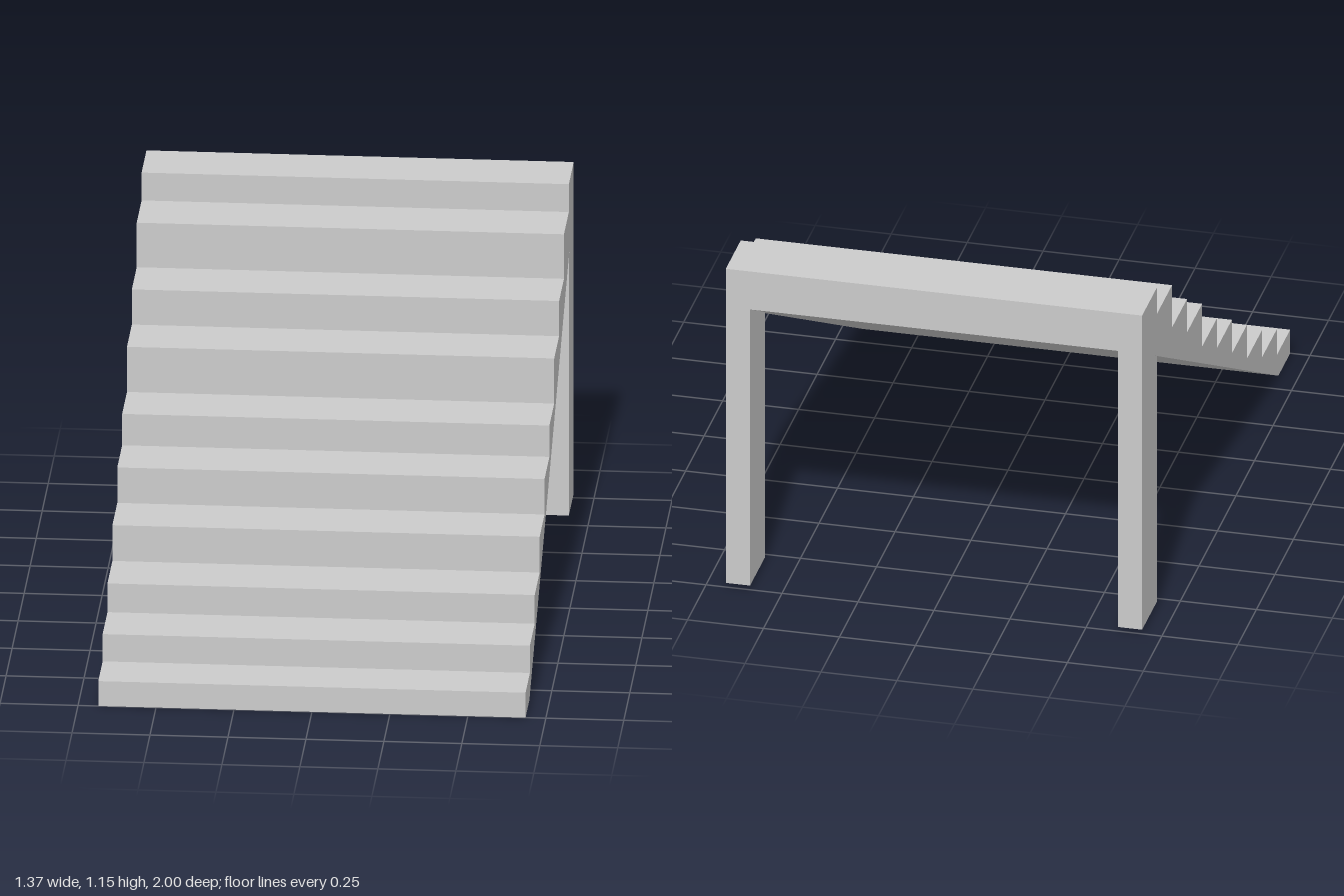
import * as THREE from 'three';

const WIDTH = 1.37, POST_WIDTH = 0.08;

// Extrudes a side profile of [z, y] points along x, centred on centreX
function extrudeSide(name, points, width, centreX) {
  const shape = new THREE.Shape(points.map(([z, y]) => new THREE.Vector2(z, y)));
  const geometry = new THREE.ExtrudeGeometry(shape, { depth: width, bevelEnabled: false });
  geometry.translate(0, 0, -width / 2);
  geometry.rotateY(-Math.PI / 2);
  const mesh = new THREE.Mesh(
    geometry,
    new THREE.MeshStandardMaterial({ color: 0xcccccc, flatShading: true })
  );
  mesh.name = name;
  mesh.position.x = centreX;
  return mesh;
}

export function createModel() {
  const group = new THREE.Group();
  group.name = 'staircase';

  // Stair flight: uneven steps above, one straight slope below
  const risers = [1, 0.82, 0.62, 0.415, 0.212, 0.01, -0.19, -0.393, -0.595, -0.798, -1];
  const treads = [0.085, 0.178, 0.276, 0.398, 0.519, 0.626, 0.78, 0.9, 1.052, 1.147];
  const profile = [[-1, 1.01], [0.84, 0], [1, 0]];
  treads.forEach((y, i) => profile.push([risers[i], y], [risers[i + 1], y]));
  group.add(extrudeSide('stairFlight', profile, WIDTH, 0));

  // Rear posts, cut to meet the sloping underside
  const post = [[-1, 0.015], [-0.798, 0.015], [-0.798, 0.899], [-1, 1.01]];
  for (const [name, side] of [['leftPost', 1], ['rightPost', -1]]) {
    group.add(extrudeSide(name, post, POST_WIDTH, side * (WIDTH - POST_WIDTH) / 2));
  }

  return group;
}
